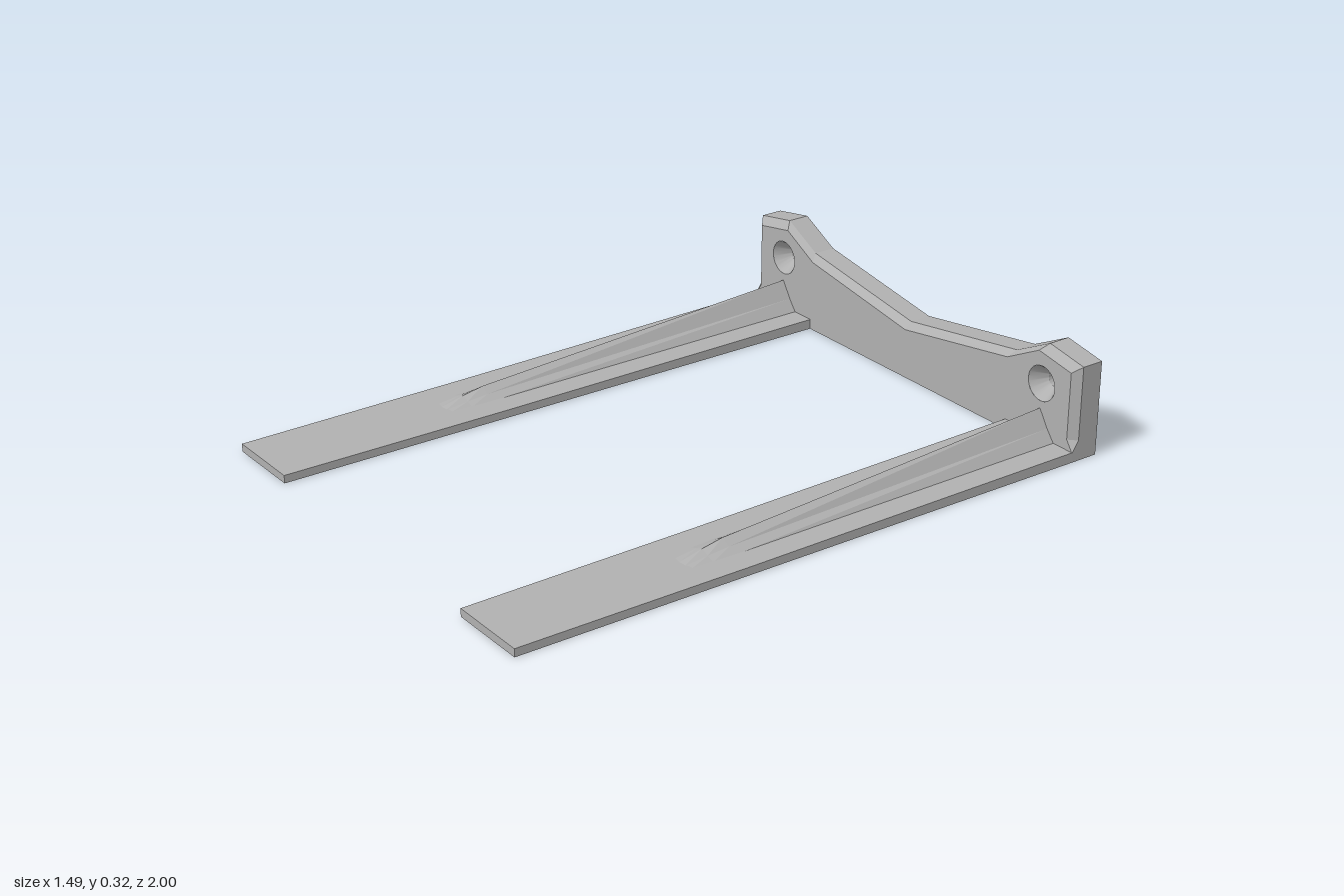
import * as THREE from 'three';
import { toCreasedNormals } from 'three/addons/utils/BufferGeometryUtils.js';

const BACK = -1, FACE = -0.905, BEVEL = -0.928;
const HOLE_X = 0.603, HOLE_Y = 0.2;

// Flat-shaded skin through rings ordered front to back, each counter-clockwise seen from the front
function loft(rings, caps) {
  const pos = [];
  const tri = (...pts) => pts.forEach((p) => pos.push(...p));
  for (let r = 0; r < rings.length - 1; r++) {
    const a = rings[r], b = rings[r + 1], n = a.length;
    for (let i = 0; i < n; i++) {
      const j = (i + 1) % n;
      tri(a[i], b[i], b[j]);
      tri(a[i], b[j], a[j]);
    }
  }
  if (caps) {
    const a = rings[0], b = rings[rings.length - 1];
    for (let i = 1; i < a.length - 1; i++) {
      tri(a[0], a[i], a[i + 1]);
      tri(b[0], b[i + 1], b[i]);
    }
  }
  const geo = new THREE.BufferGeometry();
  geo.setAttribute('position', new THREE.Float32BufferAttribute(pos, 3));
  geo.computeVertexNormals();
  return geo;
}

// Completes a right half outline that ends on the centre line
const mirror = (half) => [...half, ...half.slice(0, -1).reverse().map(([x, y]) => [-x, y])];

// Flat plate face with the two screw holes
function holedFace(outline, radius, z) {
  const shape = new THREE.Shape(outline.map(([x, y]) => new THREE.Vector2(x, y)));
  for (const s of [-1, 1]) {
    shape.holes.push(new THREE.Path().absarc(s * HOLE_X, HOLE_Y, radius, 0, Math.PI * 2, true));
  }
  const geo = new THREE.ShapeGeometry(shape, 32);
  if (z === BACK) geo.rotateY(Math.PI); // symmetric outline, so a half turn faces it backwards
  return geo.translate(0, 0, z);
}

export function createModel() {
  const model = new THREE.Group();
  model.name = 'bracket';
  const grey = new THREE.MeshStandardMaterial({ color: 0xb0b0b0 });
  grey.name = 'grey';
  const add = (parent, name, geo) => {
    const mesh = new THREE.Mesh(geo, grey);
    mesh.name = name;
    parent.add(mesh);
  };

  // Back plate with a bevelled front edge
  const plate = new THREE.Group();
  plate.name = 'backPlate';
  model.add(plate);
  const inner = mirror([[0.745, 0], [0.745, 0.03], [0.72, 0.065], [0.72, 0.275],
    [0.585, 0.299], [0.455, 0.231], [0, 0.158]]);
  const outer = mirror([[0.745, 0], [0.745, 0.03], [0.745, 0.065], [0.745, 0.297],
    [0.605, 0.322], [0.47, 0.253], [0, 0.18]]);
  add(plate, 'plateEdge', loft([
    inner.map(([x, y]) => [x, y, FACE]),
    outer.map(([x, y]) => [x, y, y < 0.05 ? FACE : BEVEL]),
    outer.map(([x, y]) => [x, y, BACK]),
  ], false));
  add(plate, 'plateFront', holedFace(inner, 0.055, FACE));
  add(plate, 'plateBack', holedFace(outer, 0.022, BACK));

  for (const s of [-1, 1]) {
    const side = s > 0 ? 'left' : 'right';

    // Countersunk screw hole
    const bore = [[0.055, FACE], [0.022, -0.955], [0.022, BACK]].map(([r, z]) => new THREE.Vector2(r, z));
    const hole = new THREE.LatheGeometry(bore, 32).rotateX(Math.PI / 2).translate(s * HOLE_X, HOLE_Y, 0);
    add(plate, side + 'ScrewHole', toCreasedNormals(hole, 0.5));

    // Tapered flat arm: z, inner x, outer x, top
    const armRings = [[1, 0.473, 0.728, 0.025], [0.25, 0.468, 0.735, 0.025], [FACE, 0.461, 0.745, 0.032]]
      .map(([z, a, b, h]) => {
        const [l, r] = s > 0 ? [a, b] : [-b, -a];
        return [[l, 0, z], [r, 0, z], [r, h, z], [l, h, z]];
      });
    add(model, side + 'Arm', loft(armRings, true));

    // Ridged stiffening rib: z, half width, ridge height
    const ribRings = [[0.395, 0.05, 0.025], [0.32, 0.052, 0.042], [0.25, 0.054, 0.055], [FACE, 0.07, 0.122]]
      .map(([z, w, h]) => {
        const x = s * HOLE_X, base = 0.024;
        const mid = base + (h - base) * 0.45;
        return [[x - w, base, z], [x + w, base, z], [x + w / 2, mid, z], [x, h, z], [x - w / 2, mid, z]];
      });
    add(model, side + 'Rib', loft(ribRings, false));
  }
  return model;
}
